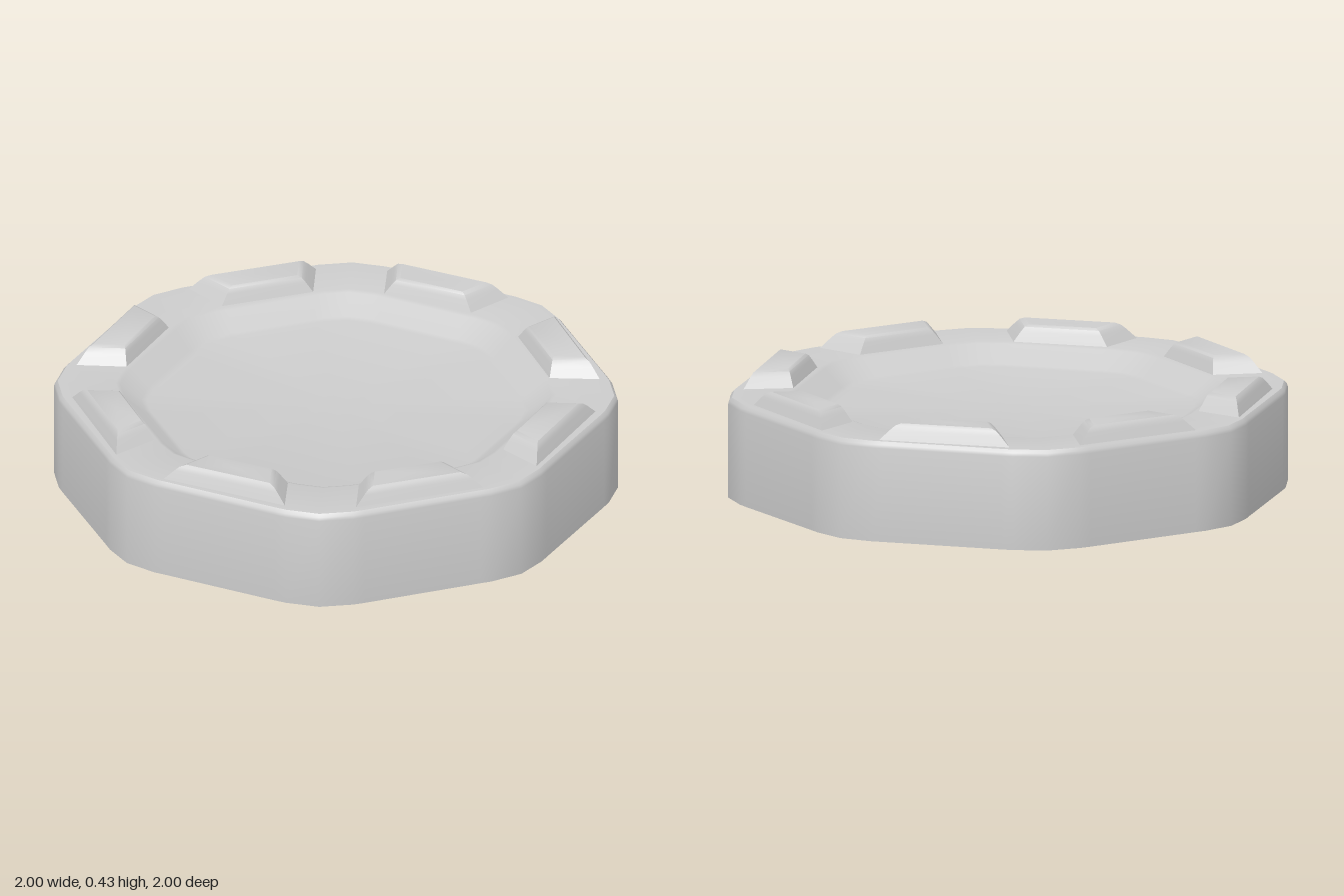
import * as THREE from 'three';
import { toCreasedNormals } from 'three/addons/utils/BufferGeometryUtils.js';

// Skins a stack of equal-length rings (anticlockwise from above), closing both ends with a fan
function loft(rings, creaseAngle) {
  const n = rings[0].length;
  const positions = rings.flat().flat();
  const index = [];
  for (let i = 0; i < rings.length - 1; i++) {
    for (let j = 0; j < n; j++) {
      const a = i * n + j, b = i * n + (j + 1) % n;
      index.push(a, b, b + n, a, b + n, a + n);
    }
  }
  const cap = (r, up) => {
    const centre = positions.length / 3;
    for (let k = 0; k < 3; k++) positions.push(rings[r].reduce((s, p) => s + p[k], 0) / n);
    for (let j = 0; j < n; j++) {
      const a = r * n + j, b = r * n + (j + 1) % n;
      index.push(centre, up ? a : b, up ? b : a);
    }
  };
  cap(0, false);
  cap(rings.length - 1, true);
  const geometry = new THREE.BufferGeometry();
  geometry.setAttribute('position', new THREE.Float32BufferAttribute(positions, 3));
  geometry.setIndex(index);
  return toCreasedNormals(geometry, creaseAngle);
}

// Octagon with softened corners; the diagonal corners reach slightly further out.
// The outermost pair of points per corner keeps the long sides shaded flat.
function octagonRing(radius, y) {
  const corner = [[-0.165, 0.972], [-0.123, 0.982], [0, 1], [0.123, 0.982], [0.165, 0.972]];
  const ring = [];
  for (let k = 0; k < 8; k++) {
    const reach = k % 2 ? 1.012 * radius : radius;
    for (const [offset, r] of corner) {
      const a = k * Math.PI / 4 + offset;
      ring.push([reach * r * Math.cos(a), y, -reach * r * Math.sin(a)]);
    }
  }
  return ring;
}

// Trapezoid between two rim distances; the long sides are steeper than the ends
function studRing(endInset, y) {
  const sideInset = 0.55 * endInset;
  const inner = 0.748 + sideInset, outer = 0.917 - sideInset;
  const half = d => 0.414 * d - 0.135 - 1.082 * endInset;
  return [
    [outer, y, half(outer)], [outer, y, -half(outer)],
    [inner, y, -half(inner)], [inner, y, half(inner)],
  ];
}

export function createModel() {
  const group = new THREE.Group();
  const material = new THREE.MeshStandardMaterial({ color: 0xcccccc });

  // Base: straight wall, small bevelled rim edge, flat rim, sloping step and level floor
  const profile = [
    [1, 0], [1, 0.343], [0.996, 0.355], [0.986, 0.366],
    [0.78, 0.365], [0.764, 0.36], [0.69, 0.301], [0.67, 0.296],
  ];
  const base = new THREE.Mesh(loft(profile.map(([r, y]) => octagonRing(r, y)), 0.72), material);
  base.name = 'dishedBase';
  group.add(base);

  // Eight raised studs, one in the middle of each rim side
  const studProfile = [[0, 0.362], [0.03, 0.401], [0.044, 0.417], [0.06, 0.425]];
  const studGeometry = loft(studProfile.map(([inset, y]) => studRing(inset, y)), 0.72);
  for (let k = 0; k < 8; k++) {
    const stud = new THREE.Mesh(studGeometry, material);
    stud.name = `rimStud${k + 1}`;
    stud.rotation.y = (k + 0.5) * Math.PI / 4;
    group.add(stud);
  }
  return group;
}
